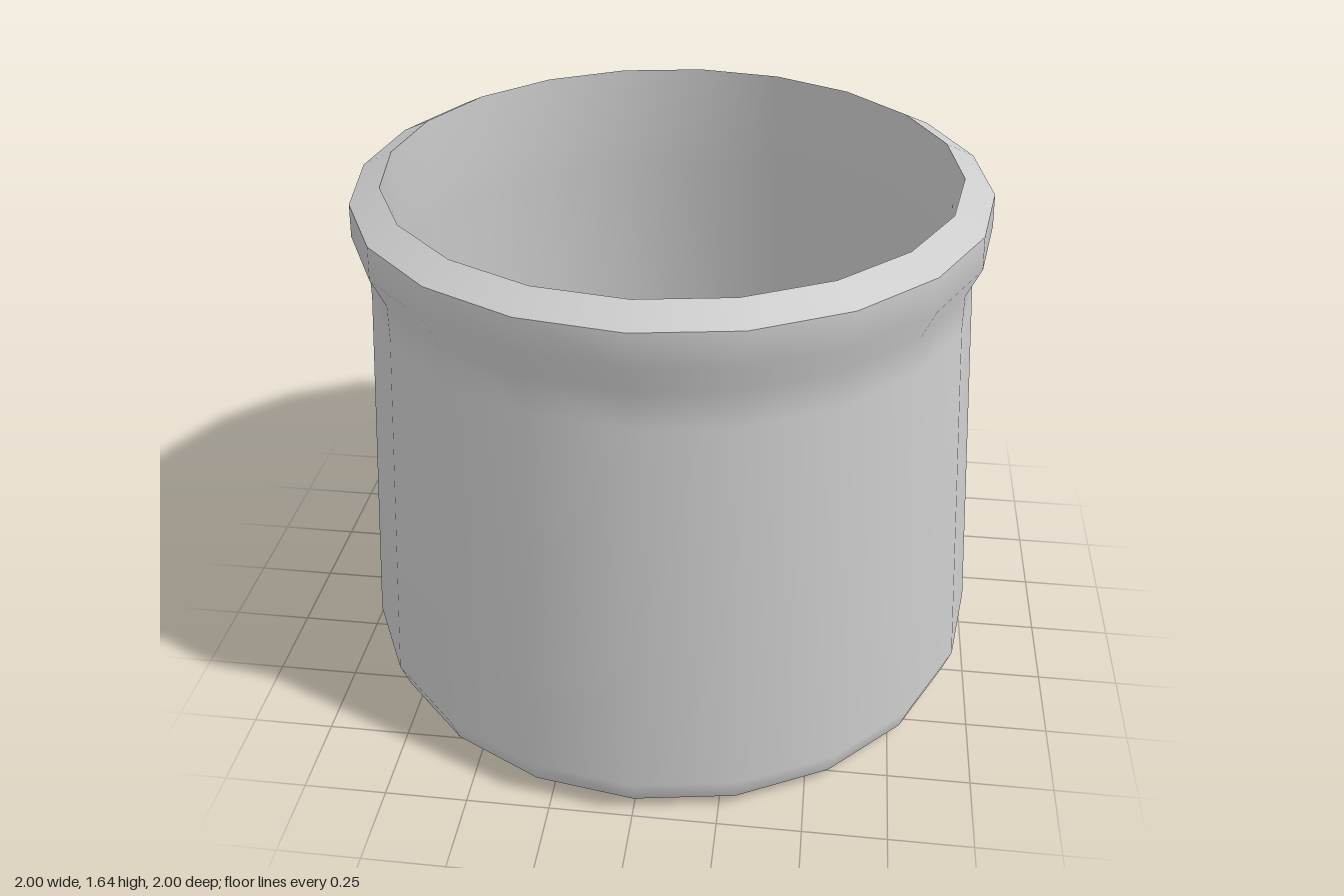
import * as THREE from 'three';

const SIDES = 20;

export function createModel() {
  const group = new THREE.Group();
  group.name = 'pot';
  const material = new THREE.MeshStandardMaterial({ color: 0xcccccc });

  // Each turned section is smooth within itself and creased where it meets the next
  const turn = (name, profile) => {
    const points = profile.map(([r, y]) => new THREE.Vector2(r, y));
    const mesh = new THREE.Mesh(new THREE.LatheGeometry(points, SIDES), material);
    mesh.name = name;
    group.add(mesh);
  };

  // Underside with its bevelled edge
  turn('base', [[0, 0], [0.88, 0], [0.97, 0.04]]);

  // Tapered body, straight neck and flared collar
  turn('outerWall', [
    [0.97, 0.04], [1, 0.125], [0.907, 1.3], [0.905, 1.41], [0.945, 1.5], [0.94, 1.6],
  ]);

  // Sloping lip
  turn('rim', [[0.94, 1.6], [0.85, 1.645]]);

  // Inside of the collar and the widening hollow below it
  turn('innerWall', [[0.85, 1.645], [0.85, 1.41], [0.865, 1.29], [0.945, 0.13], [0.92, 0.08]]);

  // Flat floor of the hollow
  turn('innerFloor', [[0.92, 0.08], [0, 0.08]]);

  return group;
}
